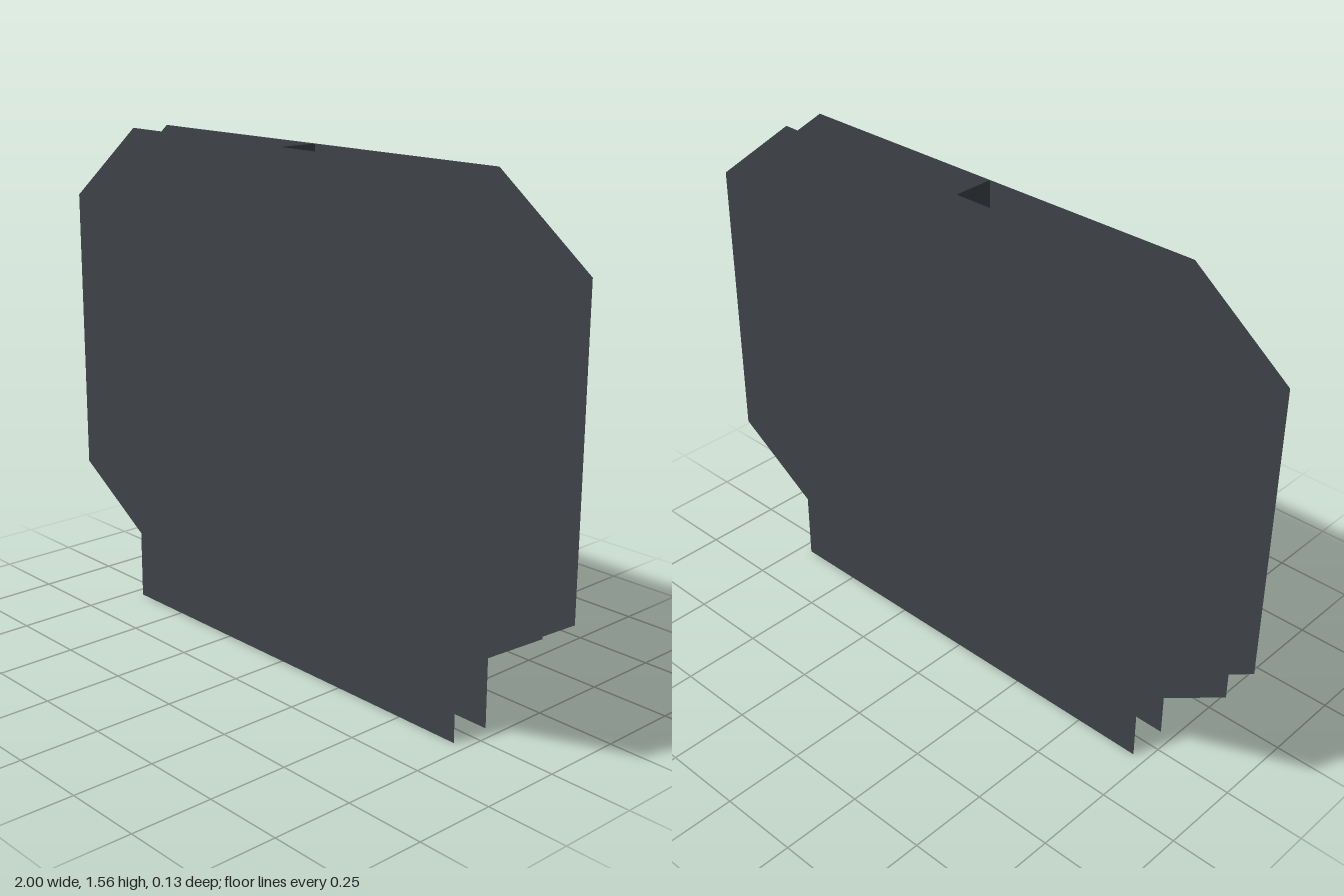
import * as THREE from 'three';

const HALF_DEPTH = 0.065;

export function createModel() {
  const model = new THREE.Group();
  model.name = 'panelSign';

  const slate = new THREE.MeshStandardMaterial({ color: 0x3e4349, side: THREE.DoubleSide });
  slate.name = 'darkSlate';

  // Right half of the panel outline, bottom to top, mirrored for the left
  const half = [[0.71, 0], [0.71, 0.22], [1, 0.405], [1, 1.32], [0.69, 1.56]];
  const outline = [...half, ...half.map(([x, y]) => [-x, y]).reverse()];
  const shape = new THREE.Shape(outline.map(([x, y]) => new THREE.Vector2(x, y)));

  // Two parallel thin sheets, open around the rim
  for (const side of [1, -1]) {
    const geometry = new THREE.ShapeGeometry(shape);
    if (side < 0) geometry.rotateY(Math.PI);
    geometry.translate(0, 0, side * HALF_DEPTH);
    const panel = new THREE.Mesh(geometry, slate);
    panel.name = side > 0 ? 'frontPanel' : 'backPanel';
    model.add(panel);
  }

  // Folded divider joining the sheets, with a bump to the left side
  const divider = new THREE.Group();
  divider.name = 'innerDivider';
  const path = [[0, 0], [0, 0.45], [0.235, 0.65], [0.235, 0.825], [0, 1], [0, 1.56]];
  for (let i = 0; i < path.length - 1; i++) {
    const [x0, y0] = path[i];
    const [x1, y1] = path[i + 1];
    const geometry = new THREE.PlaneGeometry(Math.hypot(x1 - x0, y1 - y0), HALF_DEPTH * 2);
    geometry.rotateX(Math.PI / 2);
    geometry.rotateZ(Math.atan2(y1 - y0, x1 - x0));
    geometry.translate((x0 + x1) / 2, (y0 + y1) / 2, 0);
    const strip = new THREE.Mesh(geometry, slate);
    strip.name = 'dividerStrip' + (i + 1);
    divider.add(strip);
  }
  model.add(divider);

  return model;
}
